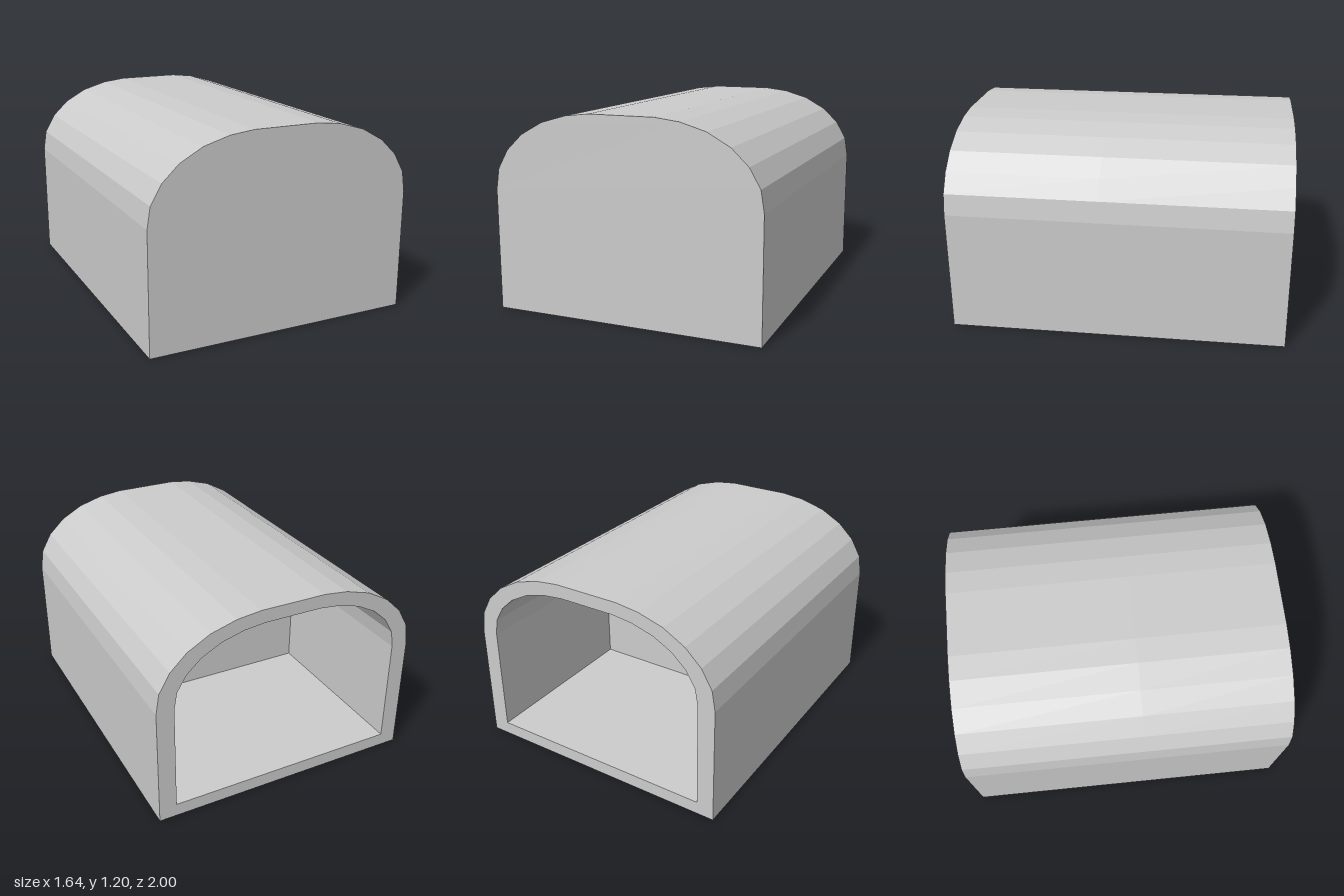
import * as THREE from 'three';

const SPRING = 0.73; // height where the walls turn into the arch

// Right half of the arch, from the wall up to the flat crown: [x, height above the spring line]
const ARCH = [[0.82, 0], [0.8, 0.125], [0.735, 0.238], [0.635, 0.333], [0.5, 0.408], [0.345, 0.453], [0.2, 0.47]];

// Closed arch outline with its own half width, floor height and crown height
function archPoints(halfWidth, floor, crown) {
  const sx = halfWidth / 0.82;
  const sy = (crown - SPRING) / 0.47;
  const right = [[halfWidth, floor], ...ARCH.map(([x, y]) => [x * sx, SPRING + y * sy])];
  const left = right.map(([x, y]) => [-x, y]).reverse();
  return [...right, ...left].map(([x, y]) => new THREE.Vector2(x, y));
}

function extrudePart(name, shape, zBack, zFront, material) {
  const geometry = new THREE.ExtrudeGeometry(shape, { depth: zFront - zBack, bevelEnabled: false });
  geometry.translate(0, 0, zBack);
  const mesh = new THREE.Mesh(geometry, material);
  mesh.name = name;
  return mesh;
}

export function createModel() {
  const group = new THREE.Group();
  group.name = 'archedHousing';
  const material = new THREE.MeshStandardMaterial({ color: 0xcccccc, flatShading: true });
  const cavityEnd = 0.1;

  // Solid front portion, whose back face closes the cavity
  const solid = new THREE.Shape(archPoints(0.82, 0, 1.2));
  group.add(extrudePart('frontBlock', solid, cavityEnd, 1, material));

  // Hollow rear portion, open at the back
  const ring = new THREE.Shape(archPoints(0.82, 0, 1.2));
  ring.holes.push(new THREE.Path(archPoints(0.714, 0.08, 1.12)));
  group.add(extrudePart('rearShell', ring, -1, cavityEnd, material));

  return group;
}
